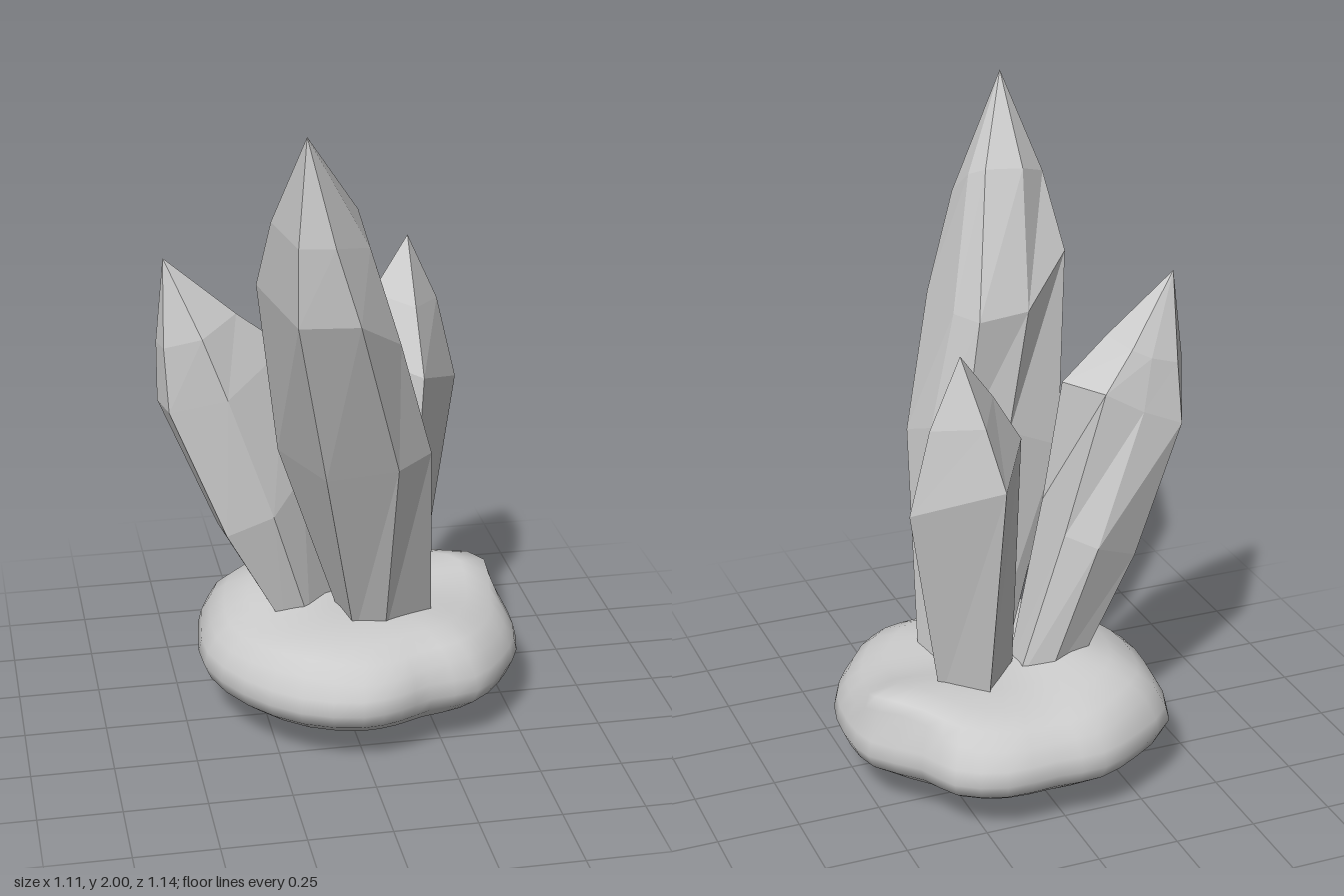
import * as THREE from 'three';

const material = new THREE.MeshStandardMaterial({ color: 0xcccccc });
const facetMaterial = new THREE.MeshStandardMaterial({ color: 0xcccccc, flatShading: true });

// Skins a stack of closed rings (counter-clockwise from above) and closes both ends with a point.
function loft(bottom, rings, tip) {
  const n = rings[0].length;
  const pos = [bottom, ...rings.flat(), tip].flat();
  const last = rings.length * n + 1;
  const id = (r, i) => 1 + r * n + (i % n);
  const index = [];
  for (let i = 0; i < n; i++) {
    index.push(0, id(0, i + 1), id(0, i));
    for (let r = 0; r < rings.length - 1; r++) {
      const a = id(r, i), b = id(r, i + 1), c = id(r + 1, i + 1), d = id(r + 1, i);
      index.push(a, b, c, a, c, d);
    }
    index.push(id(rings.length - 1, i), id(rings.length - 1, i + 1), last);
  }
  const geometry = new THREE.BufferGeometry();
  geometry.setAttribute('position', new THREE.Float32BufferAttribute(pos, 3));
  geometry.setIndex(index);
  geometry.computeVertexNormals();
  return geometry;
}

// Faceted crystal: foot, waist, shoulder and upper rings, then the point.
function crystal(name, tip, rings) {
  const foot = rings[0];
  const centre = [0, 1, 2].map(k => foot.reduce((s, p) => s + p[k], 0) / foot.length);
  const mesh = new THREE.Mesh(loft(centre, rings, tip), facetMaterial);
  mesh.name = name;
  return mesh;
}

// Rounded, lumpy rock: one plan outline scaled up a pebble-like profile.
function rockBase() {
  const cx = 0.05, cz = -0.08;
  const outline = [
    [-0.02, 0.41], [0.1, 0.385], [0.2, 0.335], [0.35, 0.31], [0.46, 0.2], [0.53, 0.07], [0.555, -0.1],
    [0.53, -0.25], [0.41, -0.38], [0.35, -0.5], [0.21, -0.57], [0.05, -0.565], [-0.1, -0.57],
    [-0.25, -0.5], [-0.39, -0.39], [-0.435, -0.2], [-0.44, 0], [-0.35, 0.2], [-0.2, 0.35],
  ].map(([x, z]) => new THREE.Vector3(x - cx, 0, z - cz));
  const plan = new THREE.CatmullRomCurve3(outline, true).getPoints(38).slice(0, -1);
  // [scale of the outline, height]
  const profile = [
    [0.3, 0.01], [0.6, 0.04], [0.85, 0.1], [0.96, 0.14], [1, 0.185], [0.98, 0.23],
    [0.92, 0.28], [0.83, 0.32], [0.68, 0.35], [0.45, 0.355], [0.22, 0.35],
  ];
  const rings = profile.map(([s, h]) => plan.map(p => {
    // the outline fades to a circle towards the underside and the top
    const k = s * THREE.MathUtils.lerp(0.5 / p.length(), 1, s * s);
    const z = cz + p.z * k;
    let x = cx + p.x * k, y = h;
    if (h > 0.25) {
      // raised knob overhanging the right-hand rim, and lumps by the crystals
      const knob = Math.exp(-((x - 0.44) ** 2 + (z + 0.26) ** 2) / 0.02);
      y += 0.045 * knob + 0.012 * Math.sin(9 * x + 1) * Math.cos(8 * z);
      y += 0.035 * Math.exp(-((x + 0.14) ** 2 + (z + 0.15) ** 2) / 0.03);
      if (h > 0.3) x += 0.05 * knob;
    }
    return [x, y, z];
  }));
  const mesh = new THREE.Mesh(loft([cx, 0, cz], rings, [cx, 0.35, cz]), material);
  mesh.name = 'rockBase';
  return mesh;
}

export function createModel() {
  const group = new THREE.Group();
  group.name = 'crystalCluster';
  group.add(rockBase());

  // Tall crystal leaning forward
  group.add(crystal('tallCrystal', [-0.2, 2, 0.52], [
    [[0.01, 0.3, 0.1], [0.1, 0.3, 0.12], [0.26, 0.3, 0.05], [0.244, 0.3, -0.065], [0.14, 0.3, -0.08], [0.08, 0.3, -0.06], [-0.01, 0.3, -0.01]],
    [[-0.12, 0.93, 0.35], [0.09, 0.95, 0.36], [0.2, 0.97, 0.29], [0.175, 1.03, 0.14], [0.1, 1.03, 0.045], [-0.04, 1.02, 0.045], [-0.22, 0.93, 0.09]],
    [[-0.23, 1.47, 0.54], [-0.06, 1.47, 0.56], [0.08, 1.36, 0.42], [0.085, 1.37, 0.18], [0.05, 1.38, 0.055], [-0.12, 1.38, 0.09], [-0.3, 1.5, 0.24]],
    [[-0.23, 1.7, 0.55], [-0.13, 1.7, 0.565], [-0.015, 1.66, 0.45], [-0.03, 1.74, 0.35], [-0.06, 1.77, 0.285], [-0.18, 1.76, 0.285], [-0.275, 1.72, 0.36]],
  ]));

  // Middle crystal leaning to the side
  group.add(crystal('sideCrystal', [-0.53, 1.5, -0.04], [
    [[-0.19, 0.3, 0], [-0.11, 0.3, 0], [0.04, 0.3, -0.13], [0.04, 0.3, -0.21], [-0.05, 0.3, -0.235], [-0.16, 0.3, -0.2], [-0.2, 0.3, -0.08]],
    [[-0.37, 0.64, 0.05], [-0.23, 0.7, 0.07], [-0.13, 0.8, 0], [-0.11, 0.78, -0.22], [-0.2, 0.74, -0.265], [-0.355, 0.66, -0.19], [-0.385, 0.64, -0.06]],
    [[-0.53, 1.04, 0.02], [-0.36, 1.08, 0.055], [-0.17, 1.2, -0.05], [-0.25, 1.2, -0.19], [-0.37, 1.13, -0.2], [-0.5, 1.07, -0.19], [-0.555, 1.05, -0.07]],
    [[-0.54, 1.24, 0.01], [-0.43, 1.27, 0.04], [-0.32, 1.32, -0.03], [-0.35, 1.31, -0.15], [-0.41, 1.28, -0.16], [-0.5, 1.25, -0.15], [-0.555, 1.24, -0.06]],
  ]));

  // Short four-sided crystal leaning back
  group.add(crystal('backCrystal', [0.25, 1.44, -0.305], [
    [[0.21, 0.3, -0.055], [0.28, 0.3, -0.2], [0.16, 0.3, -0.29], [0.035, 0.3, -0.16]],
    [[0.255, 1.06, -0.065], [0.405, 0.97, -0.3], [0.17, 1.07, -0.455], [0.03, 1.12, -0.22]],
    [[0.25, 1.25, -0.17], [0.345, 1.23, -0.31], [0.21, 1.25, -0.4], [0.13, 1.28, -0.25]],
  ]));
  return group;
}
